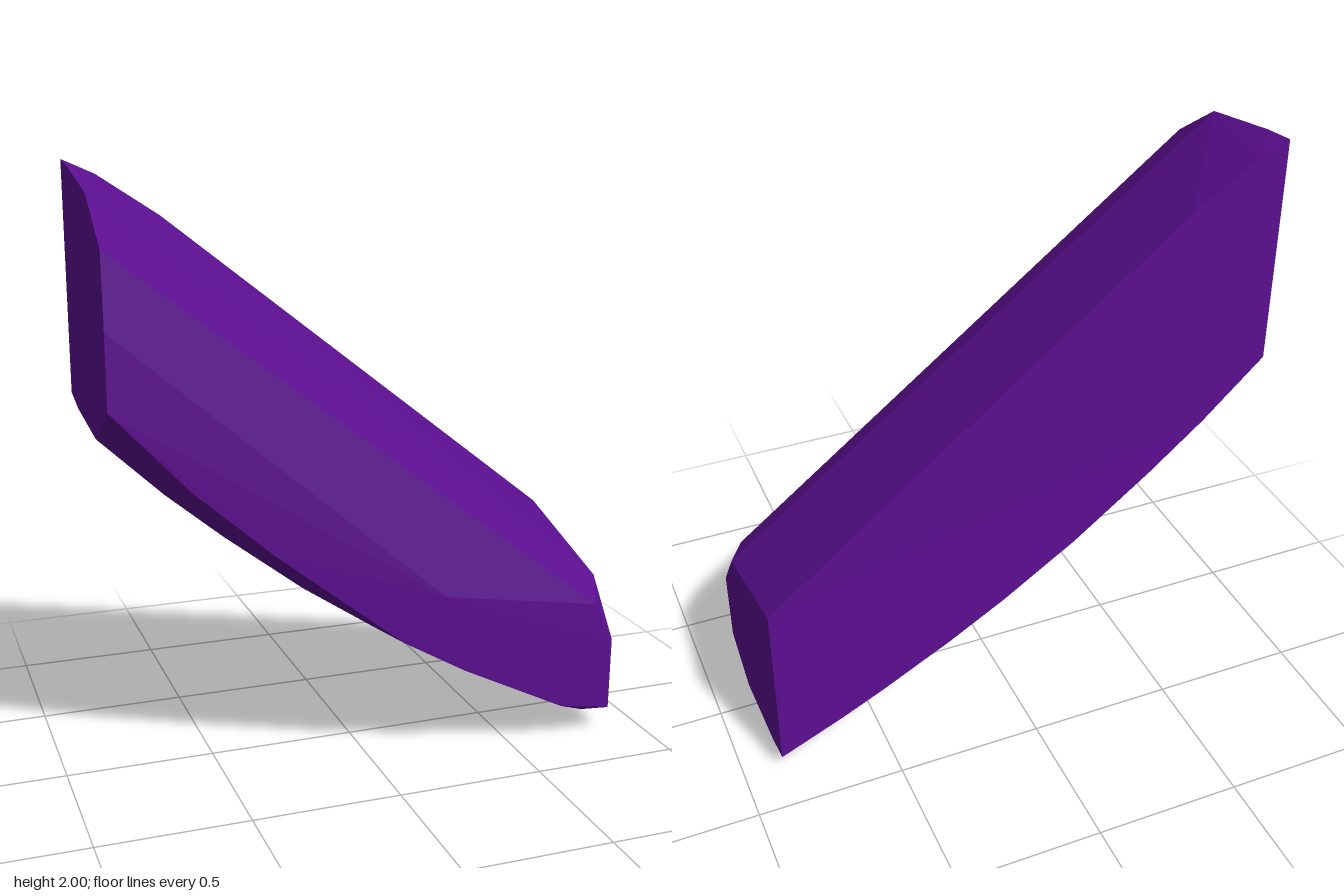
import * as THREE from 'three';
import { ConvexGeometry } from 'three/addons/geometries/ConvexGeometry.js';

export function createModel() {
  const model = new THREE.Group();
  const purple = new THREE.MeshStandardMaterial({ color: 0x5c0f91 });
  const points = [];
  const add = (x, y, z) => points.push(new THREE.Vector3(x, y, z));

  // Back top edge: bevelled at the high end, then straight
  for (const [x, y] of [[-0.87, 2], [-0.76, 1.95], [-0.55, 1.81], [0.87, 0.68]]) add(x, y, -0.34);

  // Upper shoulder
  add(-0.87, 1.985, -0.22);
  add(-0.87, 1.925, 0.1);
  add(0.87, 0.54, 0.15);

  // Front face: upper edge, slight bulge, lower edge
  add(-0.87, 1.78, 0.308);
  add(0.8, 0.49, 0.302);
  add(0.87, 0.35, 0.298);
  add(-0.87, 1.54, 0.32);
  add(0.22, 0.6, 0.34);
  for (const [x, y, z] of [
    [-0.87, 1.3, 0.318], [-0.62, 1.03, 0.318], [-0.36, 0.8, 0.322],
    [0.08, 0.45, 0.326], [0.3, 0.32, 0.318], [0.68, 0.125, 0.298], [0.87, 0.09, 0.292],
  ]) add(x, y, z);

  // Curved underside, rising a little towards the back
  for (const [x, y] of [
    [-0.87, 1.17], [-0.66, 0.97], [-0.47, 0.81], [-0.2, 0.6],
    [0.06, 0.425], [0.26, 0.305], [0.5, 0.175], [0.65, 0.1], [0.87, 0],
  ]) {
    add(x, y, 0.1);
    add(x, y + 0.03, -0.22);
    add(x, y + 0.06, -0.34);
  }

  const body = new THREE.Mesh(new ConvexGeometry(points), purple);
  body.name = 'slantedBody';
  purple.name = 'purple';
  model.add(body);
  return model;
}
